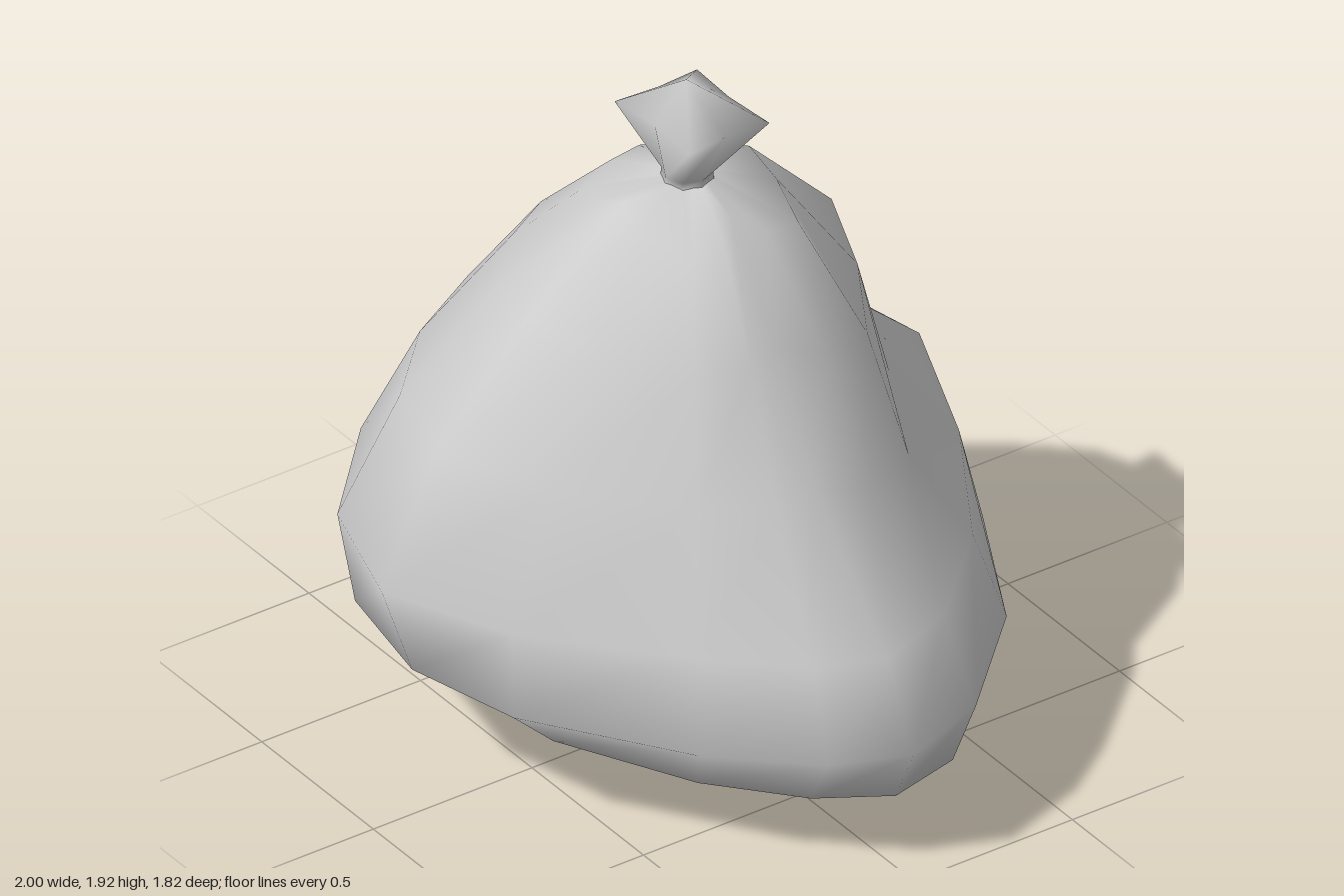
import * as THREE from 'three';

// Widest outline of the sack seen from above, counted from +x towards +z.
const OUTLINE = [
  [1, 0], [0.91, 0.21], [0.68, 0.45], [0.27, 0.77], [-0.09, 0.9], [-0.46, 0.79], [-0.77, 0.51], [-0.96, 0.23],
  [-1, 0], [-0.93, -0.3], [-0.78, -0.59], [-0.55, -0.8], [-0.21, -0.91], [0.2, -0.78], [0.62, -0.56], [0.91, -0.26],
];
// Full reach of the outline in eight directions (every 45 degrees from +x).
const REACH = [1, 0.8, 0.9, 0.9, 1, 0.97, 0.91, 0.84];

// Cross-sections from bottom to top: reach r and height y in the same eight directions.
const SECTIONS = [
  { r: [0.6, 0.42, 0.28, 0.36, 0.59, 0.55, 0.41, 0.5], y: [0.1, 0.11, 0.1, 0.08, 0.06, 0.03, 0, 0.04] },
  { r: [0.92, 0.68, 0.58, 0.75, 0.9, 0.78, 0.75, 0.77], y: [0.22, 0.22, 0.22, 0.21, 0.17, 0.15, 0.14, 0.17] },
  { r: [1, 0.81, 0.82, 0.89, 1, 0.97, 0.91, 0.84], y: [0.39, 0.39, 0.38, 0.37, 0.34, 0.36, 0.4, 0.4] },
  { r: [0.88, 0.74, 0.91, 0.89, 0.97, 0.89, 0.86, 0.75], y: [0.62, 0.64, 0.65, 0.64, 0.62, 0.66, 0.72, 0.64] },
  { r: [0.57, 0.55, 0.75, 0.73, 0.75, 0.74, 0.61, 0.58], y: [0.97, 0.97, 1.03, 0.98, 1, 0.93, 0.95, 0.86] },
  { r: [0.38, 0.41, 0.48, 0.48, 0.51, 0.53, 0.53, 0.47], y: [1.32, 1.29, 1.35, 1.34, 1.33, 1.31, 1.3, 1.22] },
  { r: [0.18, 0.24, 0.2, 0.29, 0.23, 0.3, 0.22, 0.29], y: [1.61, 1.53, 1.62, 1.53, 1.61, 1.53, 1.62, 1.53] },
];

// Skins closed rings of points, with optional end points at the bottom and top.
function loft(rings, bottom, top) {
  const n = rings[0].length;
  const points = rings.flat();
  const index = [];
  for (let i = 0; i < rings.length - 1; i++) {
    for (let k = 0; k < n; k++) {
      const a = i * n + k, b = i * n + (k + 1) % n;
      index.push(a, a + n, b, b, a + n, b + n);
    }
  }
  if (bottom) {
    const c = points.push(bottom) - 1;
    for (let k = 0; k < n; k++) index.push(c, k, (k + 1) % n);
  }
  if (top) {
    const c = points.push(top) - 1, s = (rings.length - 1) * n;
    for (let k = 0; k < n; k++) index.push(s + k, c, s + (k + 1) % n);
  }
  const geometry = new THREE.BufferGeometry();
  geometry.setAttribute('position', new THREE.Float32BufferAttribute(points.flat(), 3));
  geometry.setIndex(index);
  geometry.computeVertexNormals();
  return geometry;
}

// Round ring for the gathered neck.
function neckRing(radius, y, n) {
  return Array.from({ length: n }, (_, k) => {
    const a = (k / n) * Math.PI * 2;
    return [-0.015 + radius * Math.cos(a), y, radius * Math.sin(a)];
  });
}

export function createModel() {
  const group = new THREE.Group();
  group.name = 'tiedSack';
  const plastic = new THREE.MeshStandardMaterial({ color: 0xcccccc });
  plastic.name = 'grey plastic';
  plastic.side = THREE.DoubleSide;

  // Sagging sack with a pinched fold round the back
  const rings = SECTIONS.map(({ r, y }) => OUTLINE.map(([x, z], k) => {
    const d = Math.floor(k / 2), e = (d + k % 2) % 8;
    const scale = (r[d] / REACH[d] + r[e] / REACH[e]) / 2;
    return [x * scale, (y[d] + y[e]) / 2, z * scale];
  }));
  rings.push(neckRing(0.06, 1.635, 16));
  const sack = new THREE.Mesh(loft(rings, [-0.03, 0.045, -0.03]), plastic);
  sack.name = 'sackBody';

  // Four-cornered gathered top above the neck
  const flare = [
    [0.13, 1.82, -0.02], [0.145, 1.82, 0.105], [-0.02, 1.825, 0.1], [-0.185, 1.81, 0.11],
    [-0.17, 1.815, -0.02], [-0.185, 1.81, -0.15], [-0.02, 1.82, -0.135], [0.14, 1.82, -0.15],
  ];
  const knot = new THREE.Mesh(
    loft([neckRing(0.07, 1.63, 8), neckRing(0.068, 1.65, 8), flare], null, [-0.02, 1.925, 0]), plastic);
  knot.name = 'gatheredTop';

  group.add(sack, knot);
  return group;
}
